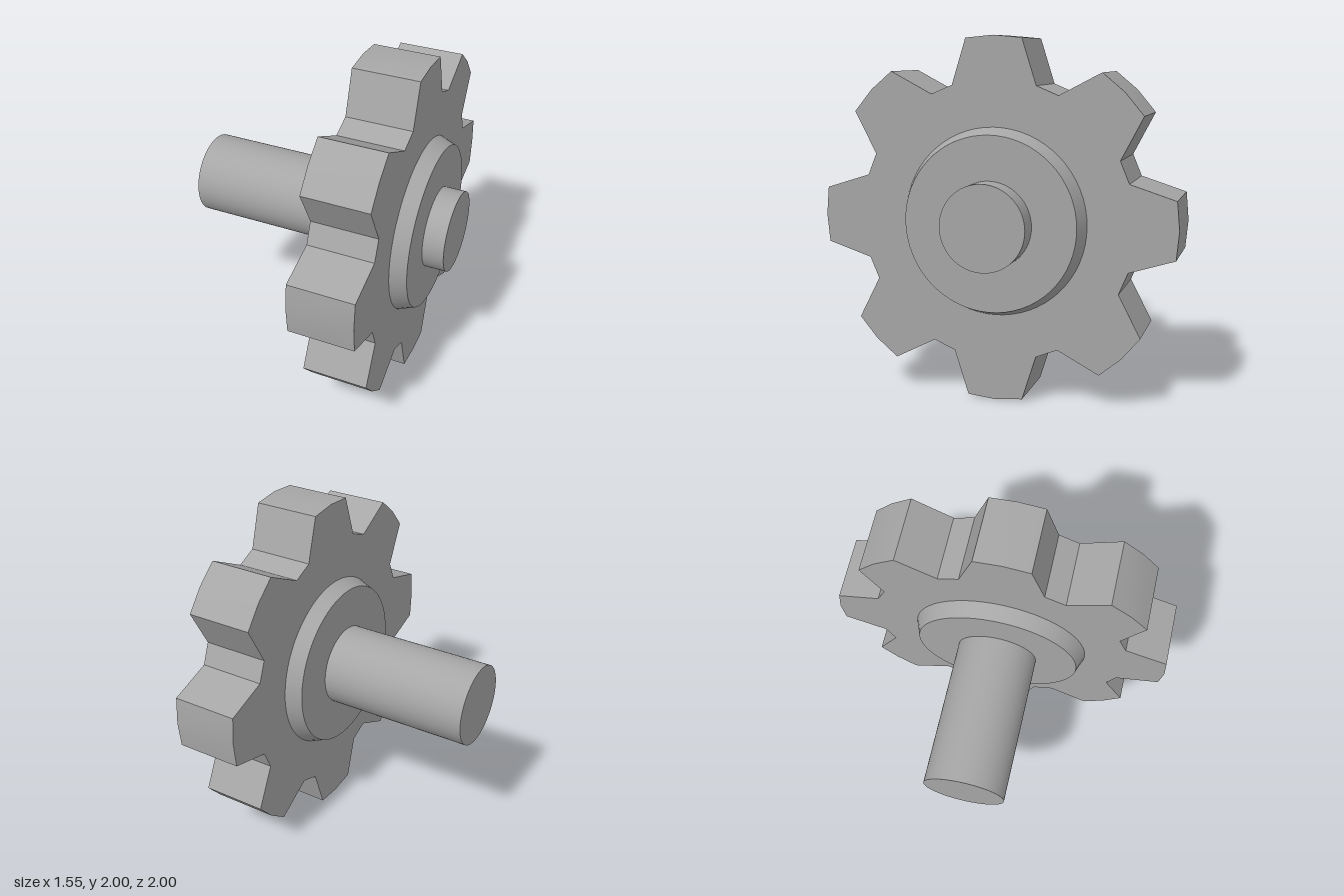
import * as THREE from 'three';
import { toCreasedNormals } from 'three/addons/utils/BufferGeometryUtils.js';

const TEETH = 8;
const GEAR_LEFT = 0.18, GEAR_RIGHT = 0.56;

export function createModel() {
  const group = new THREE.Group();
  group.name = 'gearOnShaft';
  const steel = new THREE.MeshStandardMaterial({ color: 0xa6a6a6 });
  steel.name = 'steel grey';

  const add = (name, geometry) => {
    const mesh = new THREE.Mesh(geometry, steel);
    mesh.name = name;
    mesh.position.y = 1;
    group.add(mesh);
  };

  // Cylinder or cone lying along x, from x0 (radius r0) to x1 (radius r1)
  const round = (x0, x1, r0, r1) =>
    new THREE.CylinderGeometry(r1, r0, x1 - x0, 64)
      .rotateZ(-Math.PI / 2)
      .translate((x0 + x1) / 2, 0, 0);

  // Toothed wheel: each tooth is root, tip, crown, tip, root (radius, degrees)
  const tooth = [[0.773, -17.7], [0.998, -9], [1, 0], [0.998, 9], [0.773, 17.7]];
  const outline = [];
  for (let i = 0; i < TEETH; i++) {
    for (const [r, degrees] of tooth) {
      const a = THREE.MathUtils.degToRad(degrees + (i * 360) / TEETH);
      outline.push(new THREE.Vector2(r * Math.cos(a), r * Math.sin(a)));
    }
  }
  const wheel = new THREE.ExtrudeGeometry(new THREE.Shape(outline), {
    depth: GEAR_RIGHT - GEAR_LEFT, bevelEnabled: false,
  });
  wheel.rotateY(Math.PI / 2).translate(GEAR_LEFT, 0, 0);
  add('toothedWheel', toCreasedNormals(wheel, 0.4));

  // Tapered hub bosses on both faces
  add('leftBoss', round(GEAR_RIGHT, 0.65, 0.515, 0.48));
  add('rightBoss', round(0.09, GEAR_LEFT, 0.48, 0.515));

  // Shaft through the wheel
  add('shaft', round(-0.78, 0.775, 0.236, 0.236));

  return group;
}
